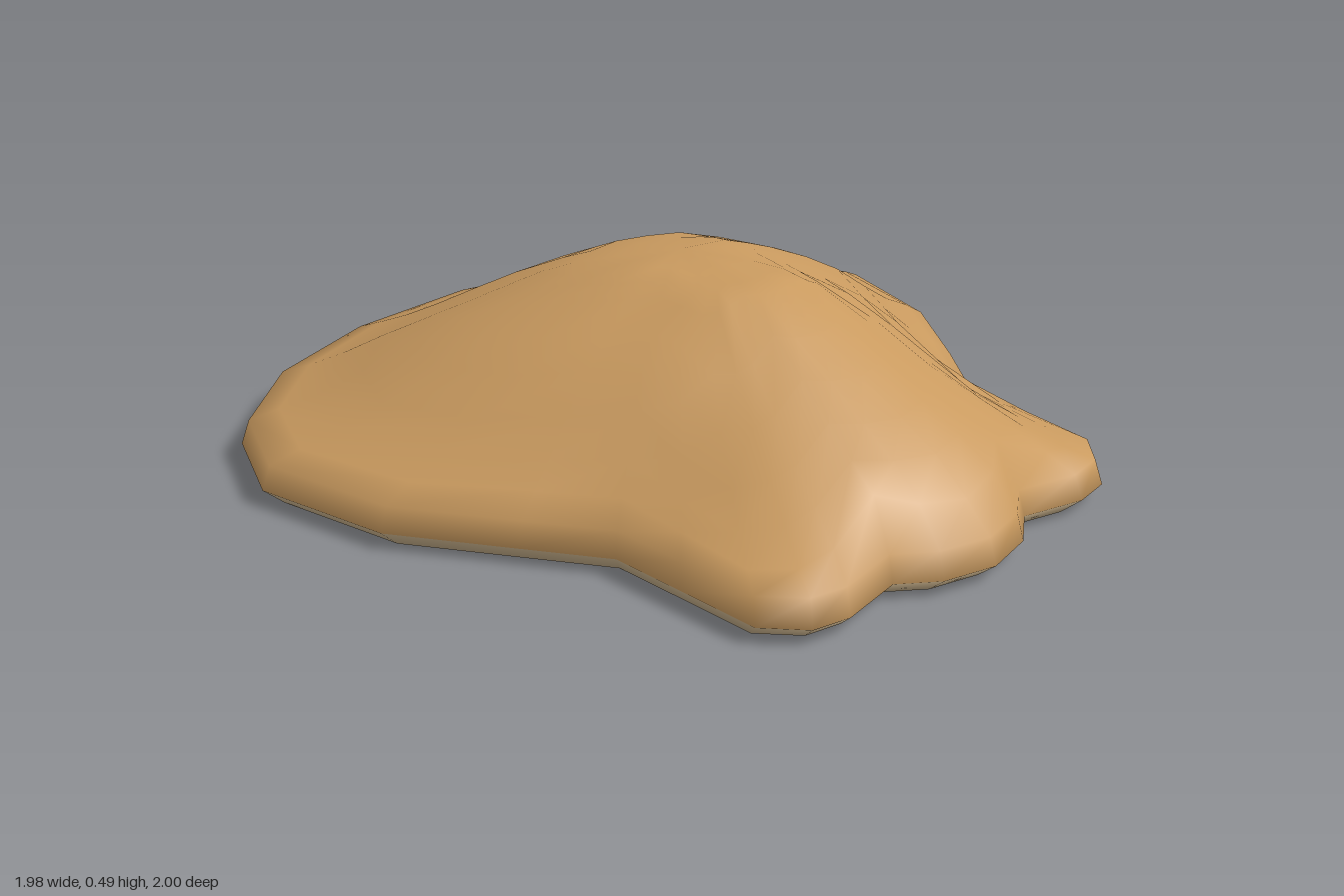
import * as THREE from 'three';
import { mergeVertices } from 'three/addons/utils/BufferGeometryUtils.js';

// Plan of the rim as [x, z], clockwise from the back
const OUTLINE = [
  [0, -1], [0.36, -0.95], [0.68, -0.82], [0.9, -0.6], [0.985, -0.34], [0.9, 0],
  [0.73, 0.26], [0.6, 0.44], [0.59, 0.63], [0.575, 0.83], [0.5, 0.91], [0.4, 0.93],
  [0.24, 0.895], [0.15, 0.965], [0.02, 0.998], [-0.11, 0.97], [-0.2, 0.91],
  [-0.36, 0.945], [-0.45, 0.93], [-0.53, 0.85], [-0.55, 0.65], [-0.57, 0.46],
  [-0.7, 0.29], [-0.89, 0.04], [-0.99, -0.31], [-0.91, -0.57], [-0.7, -0.79], [-0.38, -0.94],
];
// Height of the central ridge and half width of the dome, as [z, value]
const RIDGE = [[-0.98, 0.1], [-0.8, 0.17], [-0.5, 0.33], [-0.25, 0.44], [0, 0.485],
  [0.32, 0.472], [0.6, 0.345], [0.83, 0.23], [1, 0.09]];
const WIDTH = [[-1, 0.15], [-0.94, 0.39], [-0.8, 0.71], [-0.58, 0.91], [-0.32, 0.99],
  [0.03, 0.89], [0.45, 0.58], [0.67, 0.57], [0.83, 0.53], [0.93, 0.41], [1, 0.2]];
// Fall from the ridge to the side, as [share of half width, share of height]
const FALL = [[0, 1], [0.17, 0.975], [0.33, 0.84], [0.5, 0.67], [0.61, 0.53], [0.7, 0.38],
  [0.81, 0.21], [1, 0]];
const EDGE = 0.1;

function sample(table, z) {
  if (z <= table[0][0]) return table[0][1];
  for (let i = 1; i < table.length; i++) {
    const [z0, v0] = table[i - 1];
    const [z1, v1] = table[i];
    if (z <= z1) return v0 + (v1 - v0) * (z - z0) / (z1 - z0);
  }
  return table[table.length - 1][1];
}

// Rise of the dome above the rim
function rise(x, z) {
  return Math.max(0, sample(RIDGE, z) - EDGE) * sample(FALL, Math.abs(x) / sample(WIDTH, z));
}

export function createModel() {
  const outside = new THREE.MeshStandardMaterial({ color: 0xc99a5f });
  outside.name = 'tan outside';
  const inside = new THREE.MeshStandardMaterial({ color: 0xc4ad88 });
  inside.name = 'pale inside';

  // Rings run from the top centre, over the rim, to the centre of the hollow
  const steps = [0, 0.16, 0.25, 0.33, 0.47, 0.6, 0.72, 0.82, 0.91];
  const rings = steps.map((t) => ({ t, y: (x, z) => EDGE + rise(x, z) }));
  rings.push({ t: 0.98, y: () => EDGE });
  rings.push({ t: 1, y: () => 0.04 });
  const rimRing = rings.length - 1;
  rings.push({ t: 0.955, y: () => 0 });
  // The hollow has a flat margin before it rises under the dome
  for (const t of [...steps].reverse()) {
    rings.push({ t, y: (x, z) => Math.max(0.005, rise(x, z) - 0.04) });
  }

  const n = OUTLINE.length;
  const positions = [];
  for (const { t, y } of rings) {
    for (const [px, pz] of OUTLINE) positions.push(px * t, y(px * t, pz * t), pz * t);
  }
  const index = [];
  for (let j = 0; j < rings.length - 1; j++) {
    for (let i = 0; i < n; i++) {
      const k = (i + 1) % n;
      const a = j * n + i, b = j * n + k, c = a + n, d = b + n;
      if (rings[j + 1].t > 0) index.push(a, d, c);
      if (rings[j].t > 0) index.push(a, b, d);
    }
  }

  let geometry = new THREE.BufferGeometry();
  geometry.setAttribute('position', new THREE.Float32BufferAttribute(positions, 3));
  geometry.setIndex(index);
  geometry = mergeVertices(geometry);
  geometry.computeVertexNormals();

  // Tan above the widest edge, pale underside below it
  const split = n * 3 + (rimRing - 1) * n * 6;
  geometry.addGroup(0, split, 0);
  geometry.addGroup(split, index.length - split, 1);

  const shell = new THREE.Mesh(geometry, [outside, inside]);
  shell.name = 'shell';
  const model = new THREE.Group();
  model.name = 'hollowShell';
  model.add(shell);
  return model;
}
